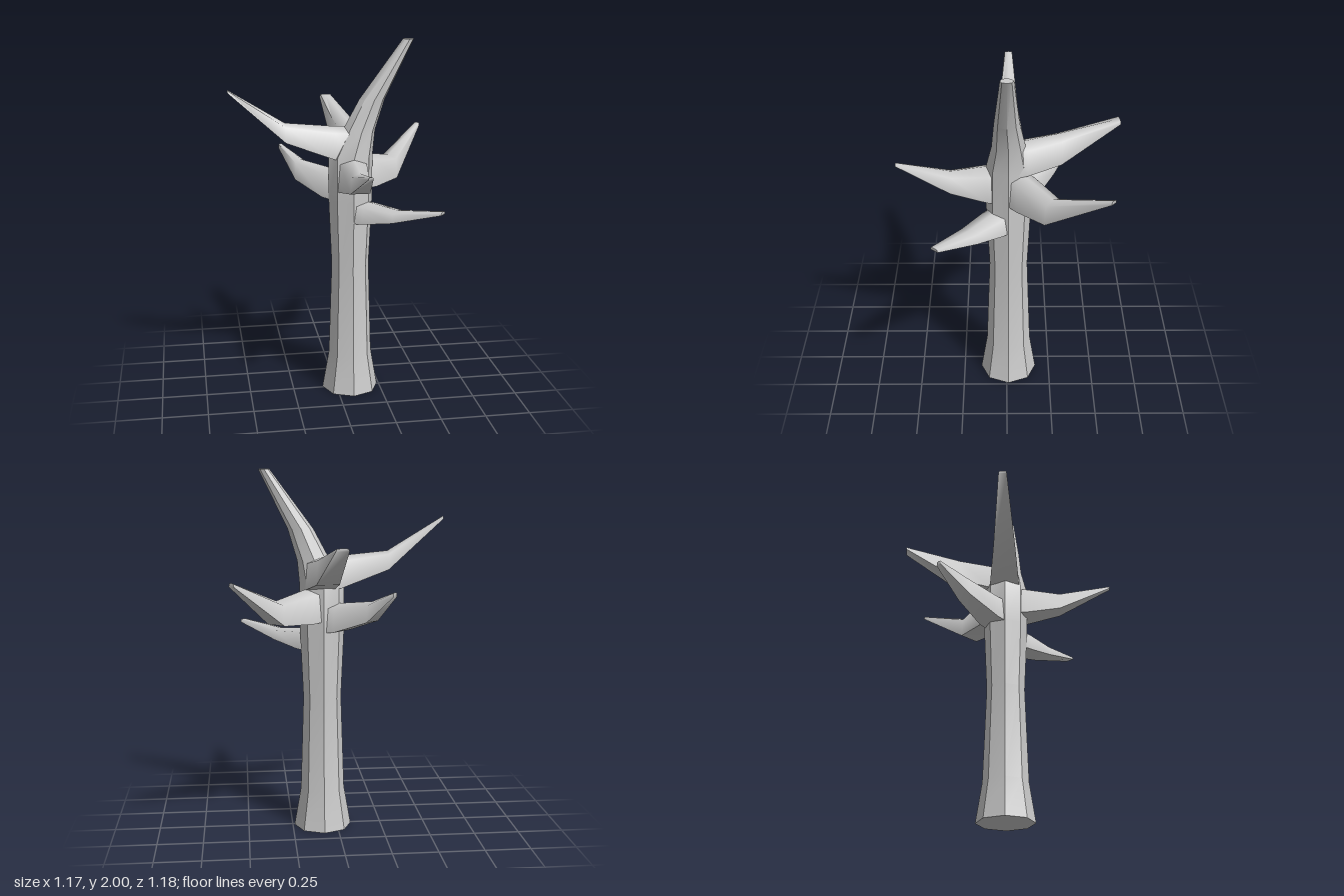
import * as THREE from 'three';
import { toCreasedNormals } from 'three/addons/utils/BufferGeometryUtils.js';

const material = new THREE.MeshStandardMaterial({ color: 0xcccccc });

// Skin a list of equal-sized rings (counter-clockwise seen from the end) and cap both ends.
function loft(name, rings, crease) {
  const n = rings[0].length;
  const index = [];
  for (let i = 0; i < rings.length - 1; i++) {
    for (let j = 0; j < n; j++) {
      const a = i * n + j, b = i * n + (j + 1) % n;
      index.push(a, b, b + n, a, b + n, a + n);
    }
  }
  const last = (rings.length - 1) * n;
  for (let j = 1; j < n - 1; j++) {
    index.push(0, j + 1, j, last, last + j, last + j + 1);
  }
  const geometry = new THREE.BufferGeometry();
  geometry.setAttribute('position', new THREE.Float32BufferAttribute(rings.flat(2), 3));
  geometry.setIndex(index);
  const mesh = new THREE.Mesh(toCreasedNormals(geometry, crease), material);
  mesh.name = name;
  return mesh;
}

// Eight-sided ring lying level at a height.
function octagon([x, y, z, rx, rz]) {
  return Array.from({ length: 8 }, (_, k) => {
    const a = k * Math.PI / 4;
    return [x + rx * Math.cos(a), y, z - rz * Math.sin(a)];
  });
}

// Branch section: flat underside, gently arched top; [across, up] as fractions.
const ARCH = [[-0.5, 0], [0.5, 0], [0.43, 0.84], [0, 1], [-0.43, 0.84]];

// Stations are [x, z, bottom y, top y, width], from inside the trunk to the tip.
function branch(name, stations) {
  const first = stations[0], tip = stations[stations.length - 1];
  const heading = new THREE.Vector2(tip[0] - first[0], tip[1] - first[1]).normalize();
  const rings = stations.map(([x, z, low, high, width]) => ARCH.map(([s, t]) => [
    x + heading.y * s * width,
    low + (high - low) * t,
    z - heading.x * s * width,
  ]));
  return loft(name, rings, 1.4);
}

export function createModel() {
  const tree = new THREE.Group();
  tree.name = 'bareTree';

  // Trunk flares at the foot and leans into the tallest limb
  tree.add(loft('trunk', [
    [0.08, 0, -0.01, 0.16, 0.16],
    [0.08, 0.22, -0.01, 0.122, 0.125],
    [0.08, 0.75, -0.01, 0.105, 0.105],
    [0.08, 1.13, -0.01, 0.122, 0.122],
    [0.08, 1.37, -0.01, 0.122, 0.12],
    [0.125, 1.51, -0.01, 0.09, 0.09],
    [0.195, 1.68, 0, 0.07, 0.066],
    [0.39, 2, 0, 0.03, 0.034],
  ].map(octagon), 0.7));

  // Side branches
  tree.add(branch('upperRightBranch', [
    [0.1, -0.015, 1.35, 1.53, 0.17],
    [-0.02, -0.015, 1.365, 1.535, 0.165],
    [-0.28, -0.01, 1.46, 1.56, 0.12],
    [-0.583, -0.012, 1.73, 1.745, 0.045],
  ]));
  tree.add(branch('upperBackBranch', [
    [0.1, -0.01, 1.35, 1.52, 0.17],
    [0.095, -0.1, 1.36, 1.53, 0.16],
    [0.07, -0.28, 1.405, 1.56, 0.125],
    [0.025, -0.59, 1.605, 1.622, 0.07],
  ]));
  tree.add(branch('frontBranch', [
    [0.08, 0, 1.19, 1.37, 0.17],
    [0.08, 0.1, 1.19, 1.37, 0.165],
    [0.08, 0.3, 1.23, 1.34, 0.105],
    [0.08, 0.59, 1.375, 1.388, 0.025],
  ]));
  tree.add(branch('backLeftBranch', [
    [0.09, -0.02, 1.19, 1.365, 0.16],
    [0.18, -0.1, 1.18, 1.36, 0.155],
    [0.34, -0.235, 1.19, 1.32, 0.12],
    [0.57, -0.52, 1.43, 1.45, 0.035],
  ]));
  tree.add(branch('backRightBranch', [
    [0.06, -0.03, 1.12, 1.28, 0.16],
    [-0.02, -0.1, 1.13, 1.285, 0.15],
    [-0.17, -0.23, 1.2, 1.31, 0.1],
    [-0.27, -0.37, 1.35, 1.375, 0.032],
  ]));
  tree.add(branch('lowerFrontBranch', [
    [0.08, 0, 1.005, 1.13, 0.16],
    [0.17, 0.08, 1.015, 1.125, 0.155],
    [0.3, 0.2, 1.045, 1.105, 0.12],
    [0.51, 0.37, 1.118, 1.135, 0.05],
  ]));

  return tree;
}
